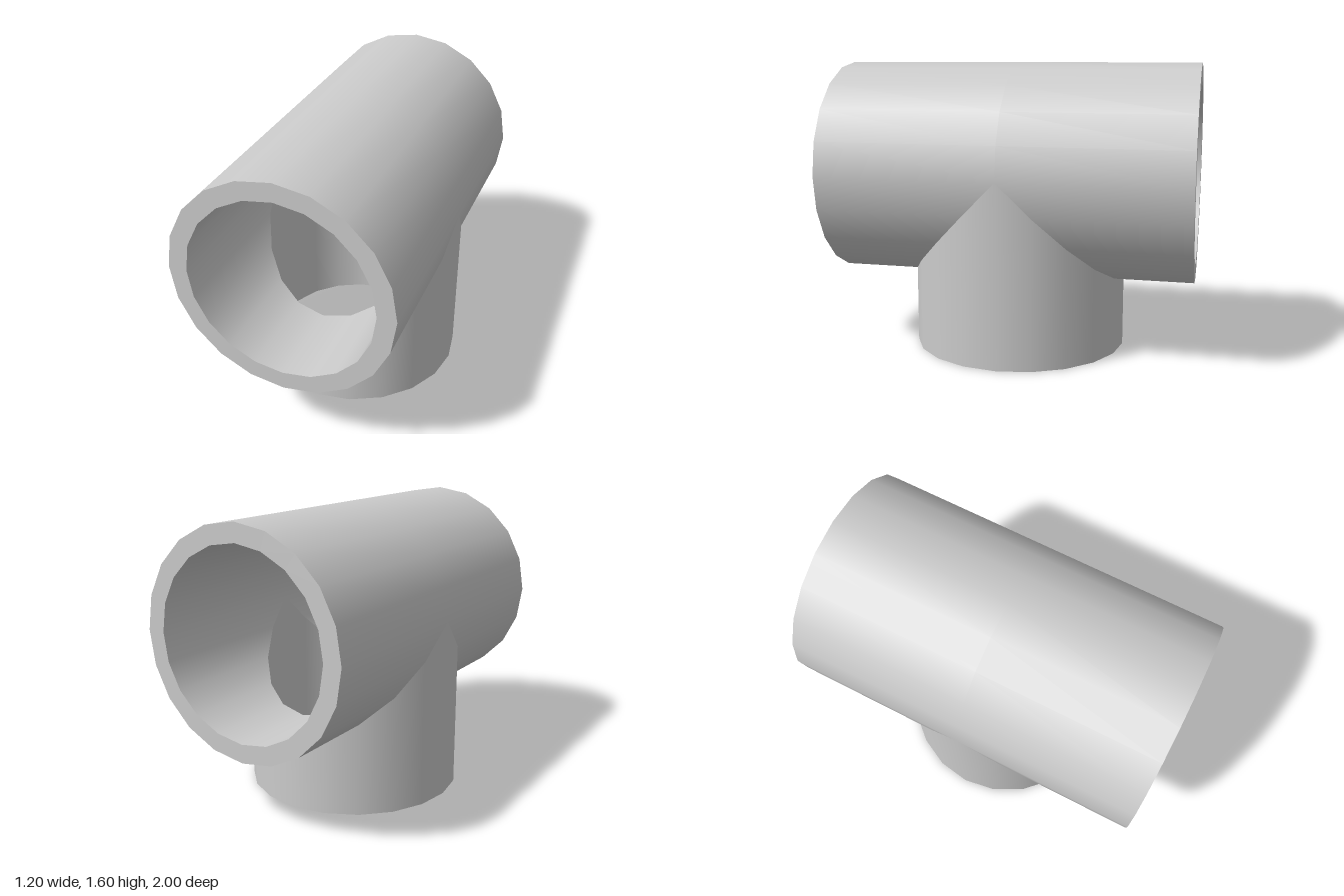
import * as THREE from 'three';

const SIDES = 20, OUTER = 0.6, INNER = 0.5, LENGTH = 1;
const material = new THREE.MeshStandardMaterial({ color: 0xcccccc });

// Round wall along +z, from a mitred edge z = miter(height) to the open end
function wall(r, miter, facing) {
  const positions = [], normals = [], index = [];
  for (let i = 0; i <= SIDES; i++) {
    const a = (i / SIDES) * Math.PI * 2;
    const c = Math.cos(a), s = Math.sin(a);
    positions.push(r * c, r * s, miter(r * s), r * c, r * s, LENGTH);
    normals.push(facing * c, facing * s, 0, facing * c, facing * s, 0);
    if (i === SIDES) break;
    const s0 = 2 * i, e0 = s0 + 1, s1 = s0 + 2, e1 = s0 + 3;
    if (facing > 0) index.push(s0, s1, e1, s0, e1, e0);
    else index.push(s0, e1, s1, s0, e0, e1);
  }
  const geometry = new THREE.BufferGeometry();
  geometry.setAttribute('position', new THREE.Float32BufferAttribute(positions, 3));
  geometry.setAttribute('normal', new THREE.Float32BufferAttribute(normals, 3));
  geometry.setIndex(index);
  return geometry;
}

// One hollow arm of the tee: outer wall, bore and flat end rim
function arm(name, miter) {
  const group = new THREE.Group();
  group.name = name;
  const add = (part, geometry) => {
    const mesh = new THREE.Mesh(geometry, material);
    mesh.name = name + part;
    group.add(mesh);
  };
  add('OuterWall', wall(OUTER, miter, 1));
  add('Bore', wall(INNER, miter, -1));
  add('Rim', new THREE.RingGeometry(INNER, OUTER, SIDES, 1).translate(0, 0, LENGTH));
  return group;
}

export function createModel() {
  const model = new THREE.Group();
  model.name = 'pipeTee';

  // Straight run: two mirrored arms, cut away below where the branch joins
  const runMiter = (h) => Math.max(0, -h);
  const front = arm('frontArm', runMiter);
  const back = arm('backArm', runMiter);
  back.rotation.y = Math.PI;

  // Branch pointing down, its mitred end rising to the run's axis at the sides
  const branch = arm('branchArm', Math.abs);
  branch.rotation.x = Math.PI / 2;

  for (const part of [front, back, branch]) {
    part.position.y = 1;
    model.add(part);
  }
  return model;
}
